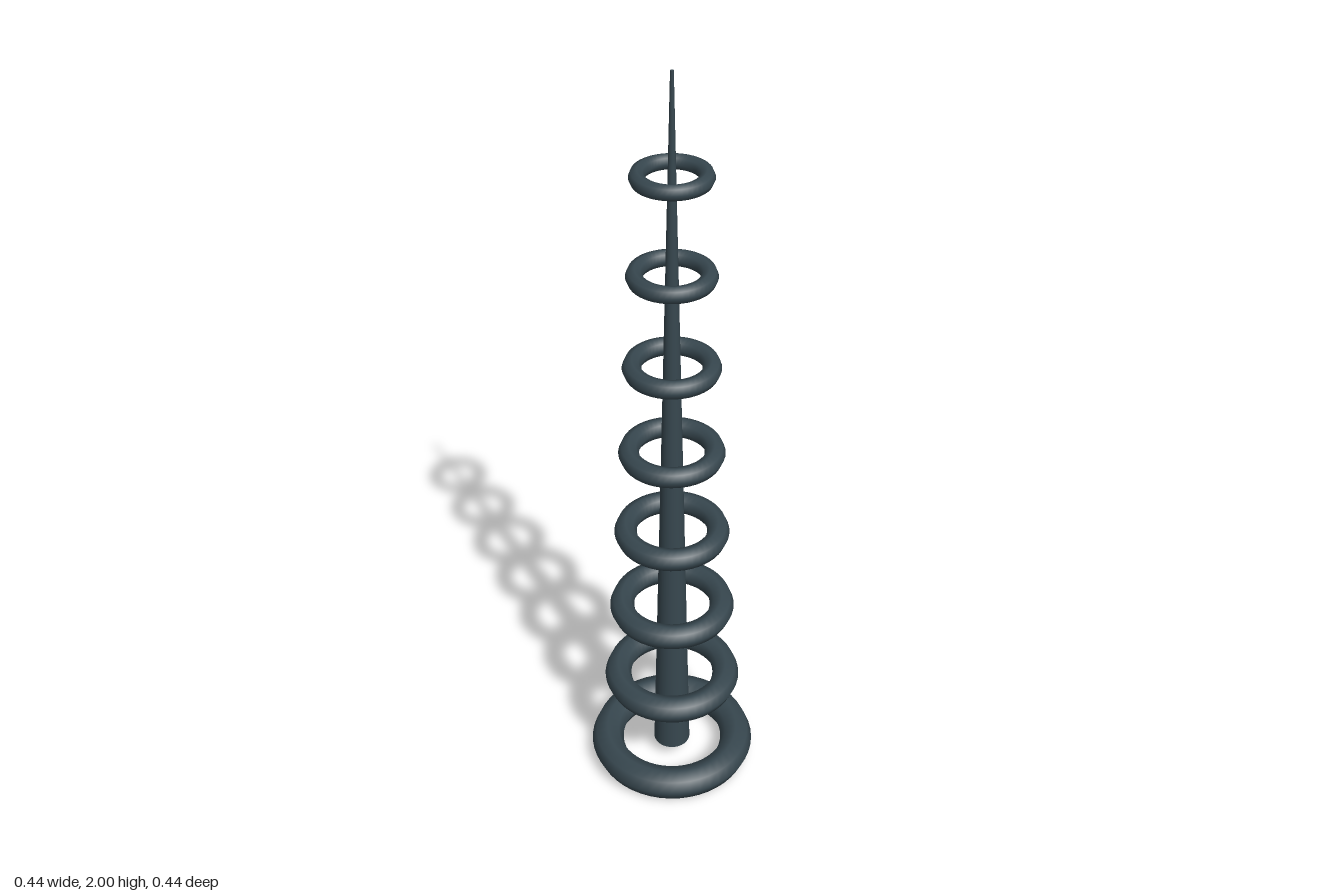
import * as THREE from 'three';

export function createModel() {
  const group = new THREE.Group();
  const material = new THREE.MeshStandardMaterial({ color: 0x37474f });

  const baseY = 0.043;
  const ringStep = 0.245;

  // Slender tapering mast, starting at the centre of the base ring
  const height = 2 - baseY;
  const mast = new THREE.Mesh(new THREE.CylinderGeometry(0.004, 0.049, height, 32), material);
  mast.name = 'mast';
  mast.position.y = baseY + height / 2;
  group.add(mast);

  // Floating rings, each 10% smaller than the one below; the base ring is wider
  for (let i = 0; i < 8; i++) {
    const outer = i === 0 ? 0.222 : 0.18 * 0.9 ** (i - 1);
    const tube = outer * 0.195;
    const geometry = new THREE.TorusGeometry(outer - tube, tube, 8, 48);
    geometry.rotateX(-Math.PI / 2);
    const ring = new THREE.Mesh(geometry, material);
    ring.name = i === 0 ? 'baseRing' : `ring${i}`;
    ring.position.y = baseY + i * ringStep;
    group.add(ring);
  }

  return group;
}
